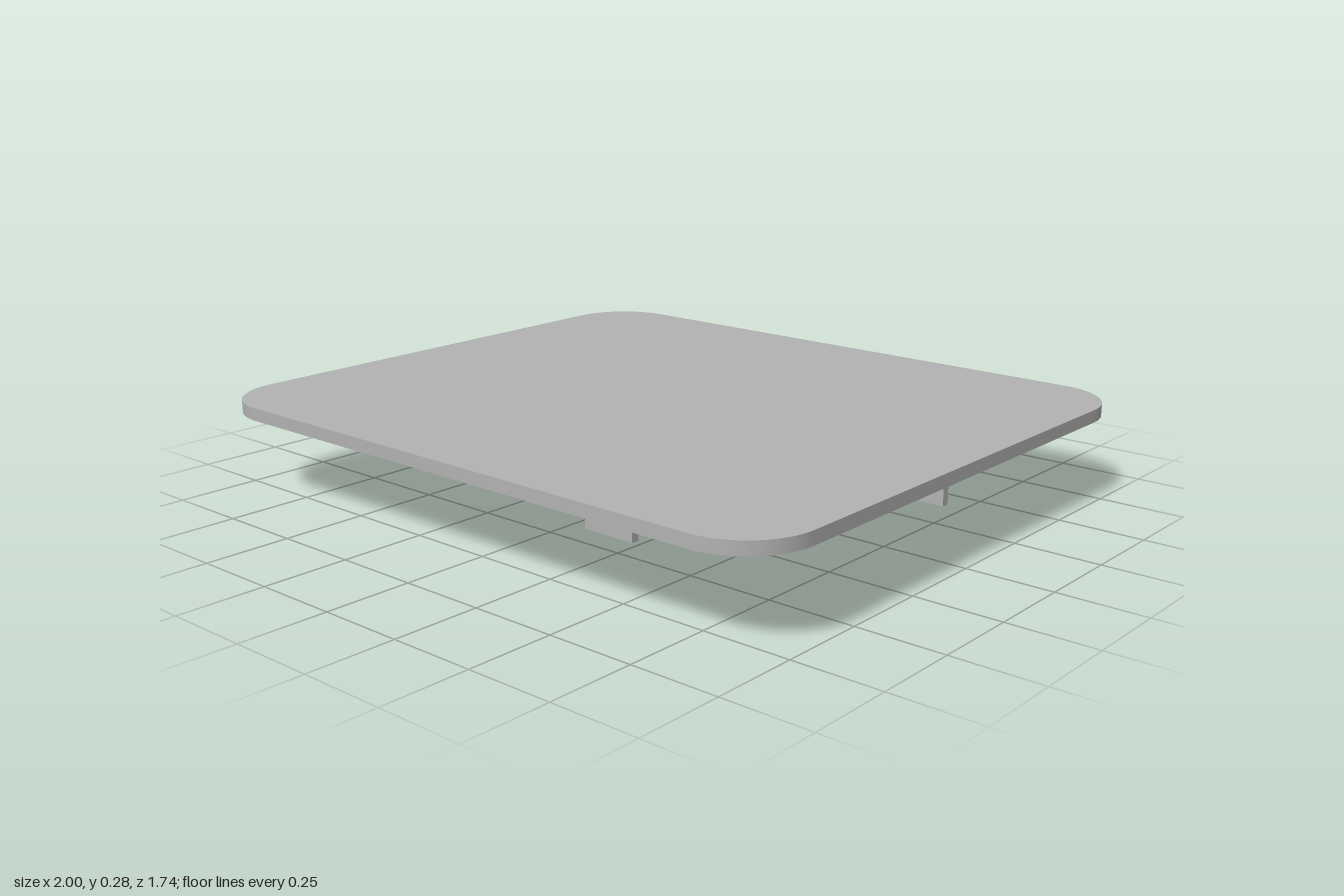
import * as THREE from 'three';
import { toCreasedNormals } from 'three/addons/utils/BufferGeometryUtils.js';

const TOP = 0.283, UNDER = 0.246, RIM = 0.226;

// Extrudes a plan outline (x, -z) between two heights
function slab(shape, y0, y1) {
  const geo = new THREE.ExtrudeGeometry(shape, { depth: y1 - y0, bevelEnabled: false, curveSegments: 16 });
  geo.rotateX(-Math.PI / 2).translate(0, y0, 0);
  return toCreasedNormals(geo, 0.5);
}

// Rounded rectangle centred on the origin
function roundedPlan(w, d, r) {
  const s = new THREE.Shape();
  s.absarc(w - r, d - r, r, 0, Math.PI / 2);
  s.absarc(r - w, d - r, r, Math.PI / 2, Math.PI);
  s.absarc(r - w, r - d, r, Math.PI, Math.PI * 1.5);
  s.absarc(w - r, r - d, r, Math.PI * 1.5, Math.PI * 2);
  s.closePath();
  return s;
}

// Thin rounded band, left open in the middle of the +x side
function rimPlan(w, d, r, t, gap) {
  const s = new THREE.Shape();
  s.moveTo(w, gap);
  s.absarc(w - r, d - r, r, 0, Math.PI / 2);
  s.absarc(r - w, d - r, r, Math.PI / 2, Math.PI);
  s.absarc(r - w, r - d, r, Math.PI, Math.PI * 1.5);
  s.absarc(w - r, r - d, r, Math.PI * 1.5, Math.PI * 2);
  s.lineTo(w, -gap);
  s.lineTo(w - t, -gap);
  // inner edge runs back the other way
  const q = r - t;
  s.absarc(w - r, r - d, q, Math.PI * 2, Math.PI * 1.5, true);
  s.absarc(r - w, r - d, q, Math.PI * 1.5, Math.PI, true);
  s.absarc(r - w, d - r, q, Math.PI, Math.PI / 2, true);
  s.absarc(w - r, d - r, q, Math.PI / 2, 0, true);
  s.lineTo(w - t, gap);
  s.closePath();
  return s;
}

export function createModel() {
  const group = new THREE.Group();
  const grey = new THREE.MeshStandardMaterial({ color: 0xb2b2b2 });
  grey.name = 'grey';

  const add = (name, geo) => {
    const mesh = new THREE.Mesh(geo, grey);
    mesh.name = name;
    group.add(mesh);
  };

  // Cover plate and the locating rim beneath it
  add('coverPlate', slab(roundedPlan(1, 0.868, 0.2), UNDER, TOP));
  add('locatingRim', slab(rimPlan(0.937, 0.809, 0.137, 0.026, 0.24), RIM, UNDER));

  // Upright tabs hanging from the underside
  const tab = (name, x0, x1, z0, z1, y0) => {
    const geo = new THREE.BoxGeometry(x1 - x0, UNDER - y0, z1 - z0);
    geo.translate((x0 + x1) / 2, (UNDER + y0) / 2, (z0 + z1) / 2);
    add(name, geo);
  };
  tab('centreTab', -0.02, 0.018, -0.217, 0.217, 0.03);
  tab('frontTab', 0.053, 0.227, 0.393, 0.418, 0);
  tab('backTab', 0.263, 0.692, -0.416, -0.391, 0);

  return group;
}
